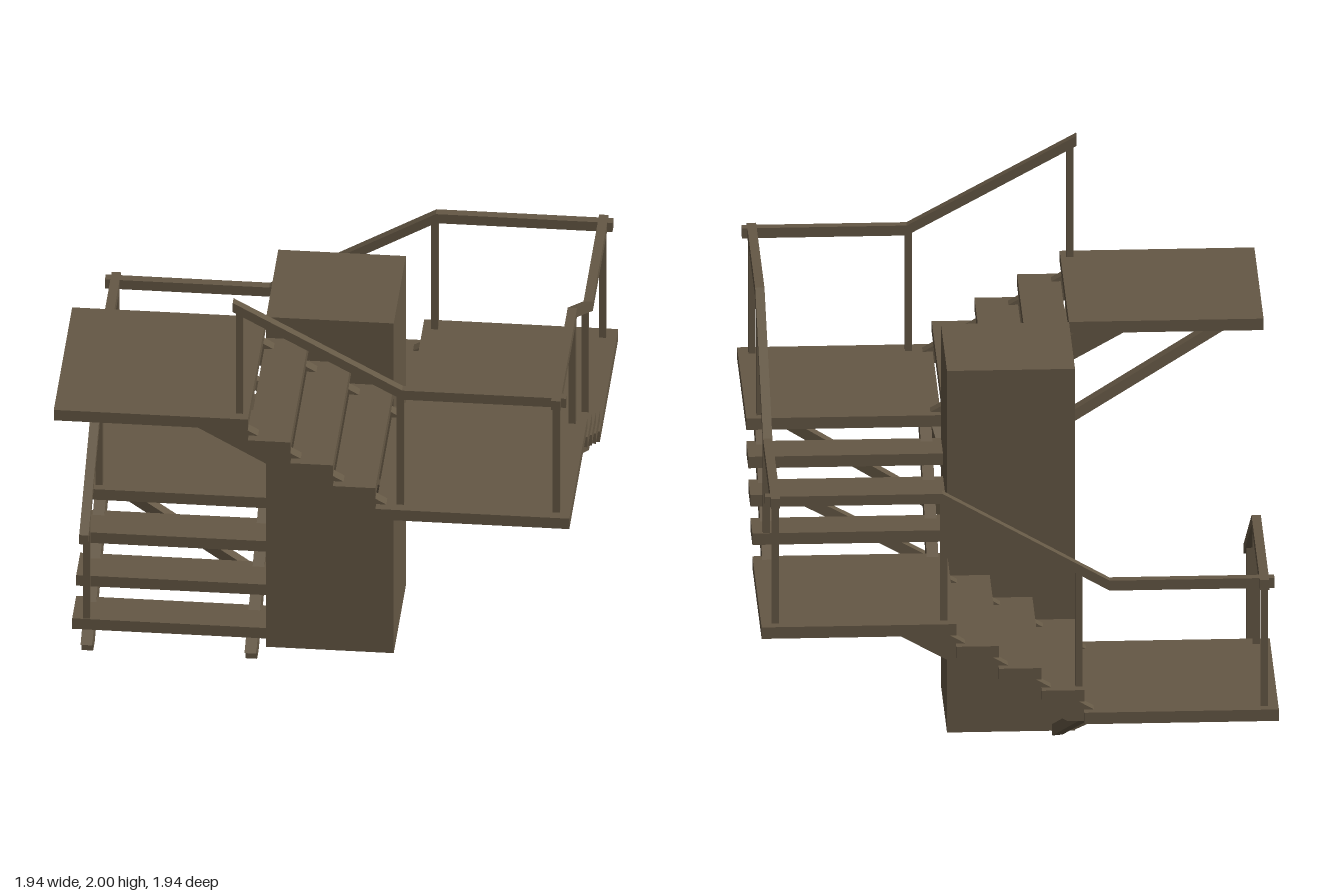
import * as THREE from 'three';

const RISE = 0.0915, THICK = 0.046, CORE = 0.24, OUT = 0.97;
const STEP = (CORE * 2) / 3, RAIL = 0.917;

export function createModel() {
  const wood = new THREE.MeshStandardMaterial({ color: 0x655845 });
  wood.name = 'brown wood';
  const model = new THREE.Group();
  model.name = 'spiralStair';

  const add = (parent, name, geometry) => {
    const mesh = new THREE.Mesh(geometry, wood);
    mesh.name = name;
    parent.add(mesh);
    return mesh;
  };

  // Box given by its lower and upper corners
  const block = (parent, name, a, b) => {
    const mesh = add(parent, name, new THREE.BoxGeometry(b[0] - a[0], b[1] - a[1], b[2] - a[2]));
    mesh.position.set((a[0] + b[0]) / 2, (a[1] + b[1]) / 2, (a[2] + b[2]) / 2);
  };

  // Outline in x, y given a depth centred on z
  const plank = (parent, name, outline, depth, z) => {
    const shape = new THREE.Shape(outline.map(([x, y]) => new THREE.Vector2(x, y)));
    const geometry = new THREE.ExtrudeGeometry(shape, { depth, bevelEnabled: false });
    add(parent, name, geometry).position.z = z - depth / 2;
  };

  // Square bar from one point to another, run on a little at both ends
  const bar = (parent, name, from, to) => {
    const a = new THREE.Vector3(...from), b = new THREE.Vector3(...to);
    const mesh = add(parent, name, new THREE.BoxGeometry(0.04, 0.041, a.distanceTo(b) + 0.03));
    mesh.position.copy(a).add(b).multiplyScalar(0.5);
    mesh.lookAt(b);
  };

  // Central column
  block(model, 'column', [-CORE, 0.055, -CORE], [CORE, 1.51, CORE]);

  // Four quarter turns, each one flight climbing towards -x and its landing
  for (let k = 1; k <= 4; k++) {
    const quarter = new THREE.Group();
    quarter.name = 'flight' + k;
    const top = THICK + (k - 1) * 4 * RISE;
    const bottom = top - THICK;
    const landTop = top + 4 * RISE;
    const landBottom = landTop - THICK;

    // Treads
    for (let i = 0; i < 3; i++) {
      const y = top + (i + 1) * RISE, x = CORE - i * STEP;
      block(quarter, 'tread', [x - STEP, y - THICK, CORE], [x, y, OUT]);
    }

    // Landing
    block(quarter, 'landing', [-OUT, landBottom, CORE], [-CORE, landTop, OUT]);

    // Stringers, notched over the edge of the landing below
    for (const z of [0.296, 0.913]) {
      plank(quarter, 'stringer', [
        [0.278, top], [-0.285, landBottom], [-0.47, landBottom],
        [0.18, bottom], [CORE, bottom], [CORE, top],
      ], 0.044, z);
    }

    // Diagonal braces from the column to the landing and the middle tread
    const low = landBottom - 0.305;
    bar(quarter, 'landingBrace', [-0.175, low, CORE], [-0.295, landBottom, 0.8]);
    bar(quarter, 'landingBrace', [-CORE, low, 0.175], [-0.8, landBottom, 0.295]);
    if (k > 1) {
      const under = top + 2 * RISE - THICK;
      bar(quarter, 'treadBrace', [0, under - 0.29, CORE], [0, under, 0.77]);
    }

    // Handrail: level, sloped, level
    const r0 = 0.547 + (k - 1) * 0.361;
    const r1 = k === 4 ? 1.979 : r0 + 0.361;
    const path = [[0.337, r0], [k === 4 ? -0.3 : -0.29, r1]];
    if (k > 1) path.unshift([0.955, r0]);
    if (k < 4) path.push([-0.955, r1]);
    const h = 0.02;
    plank(quarter, 'handrail', [
      ...path.map(([x, y]) => [x, y + h]),
      ...path.map(([x, y]) => [x, y - h]).reverse(),
    ], 0.035, RAIL);

    // Posts
    const slope = (r1 - r0) / 0.627;
    const post = (x, from, to) =>
      block(quarter, 'post', [x - 0.0135, from, RAIL - 0.0135], [x + 0.0135, to, RAIL + 0.0135]);
    if (k < 4) {
      post(0.222, top + RISE, r0 + 0.115 * slope);
      post(-0.285, landTop, r1);
      post(-RAIL, landTop, r1);
    } else {
      post(0.33, top, r0);
      post(-0.275, landTop, r1 - 0.02);
    }

    quarter.rotation.y = -Math.PI / 2 * k;
    model.add(quarter);
  }
  return model;
}
